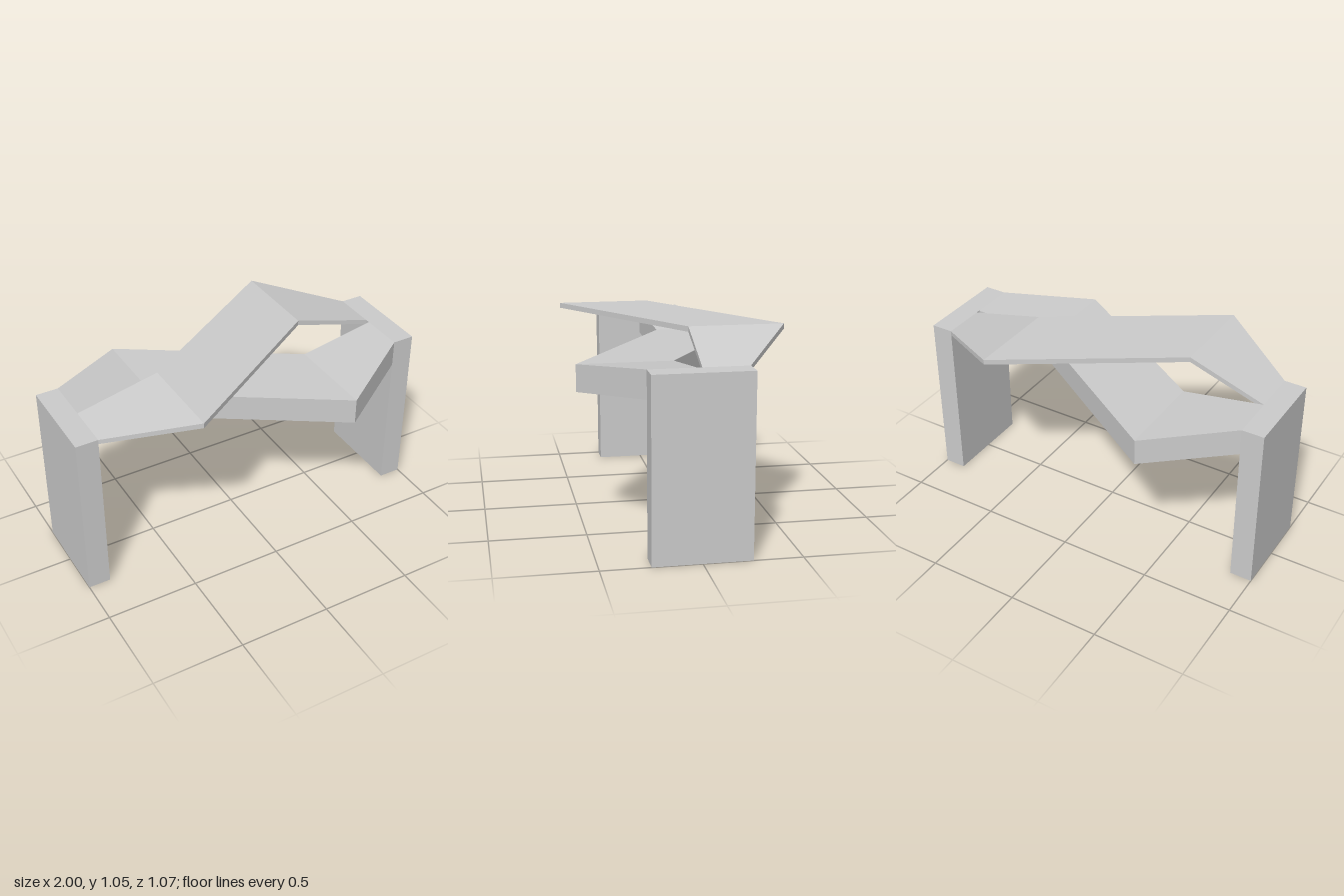
import * as THREE from 'three';

const material = new THREE.MeshStandardMaterial({ color: 0xcccccc, flatShading: true });

// Solid band through rectangular sections: [x, yBottom, yTop, zBack, zFront]
function createBand(name, sections) {
  const rings = sections.map(([x, y0, y1, z0, z1]) => [
    [x, y1, z0], [x, y1, z1], [x, y0, z1], [x, y0, z0],
  ]);
  const positions = [];
  const quad = (a, b, c, d) => positions.push(...a, ...b, ...c, ...a, ...c, ...d);
  for (let i = 0; i < rings.length - 1; i++) {
    const p = rings[i], q = rings[i + 1];
    for (let k = 0; k < 4; k++) {
      const n = (k + 1) % 4;
      quad(p[k], p[n], q[n], q[k]);
    }
  }
  // End caps
  quad(...[...rings[0]].reverse());
  quad(...rings[rings.length - 1]);

  const geometry = new THREE.BufferGeometry();
  geometry.setAttribute('position', new THREE.Float32BufferAttribute(positions, 3));
  geometry.computeVertexNormals();
  const mesh = new THREE.Mesh(geometry, material);
  mesh.name = name;
  return mesh;
}

export function createModel() {
  const group = new THREE.Group();
  group.name = 'table';

  // Slab legs
  const legHeight = 0.935;
  for (const [name, side] of [['leftLeg', 1], ['rightLeg', -1]]) {
    const leg = new THREE.Mesh(new THREE.BoxGeometry(0.12, legHeight, 0.5), material);
    leg.name = name;
    leg.position.set(side * 0.94, legHeight / 2, 0);
    group.add(leg);
  }

  // Thin band that arches up and crosses from front to back
  group.add(createBand('upperBand', [
    [-0.88, 0.91, 0.935, 0, 0.25],
    [-0.445, 1.025, 1.053, 0.03, 0.525],
    [0.44, 1.025, 1.053, -0.535, -0.037],
    [0.88, 0.91, 0.935, -0.25, -0.015],
  ]));

  // Thick band that dips down and crosses from back to front
  group.add(createBand('lowerBand', [
    [-0.88, 0.79, 0.935, -0.25, 0],
    [-0.445, 0.738, 0.88, -0.528, -0.03],
    [0.44, 0.738, 0.88, 0.037, 0.535],
    [0.88, 0.79, 0.935, 0.01, 0.25],
  ]));

  return group;
}
